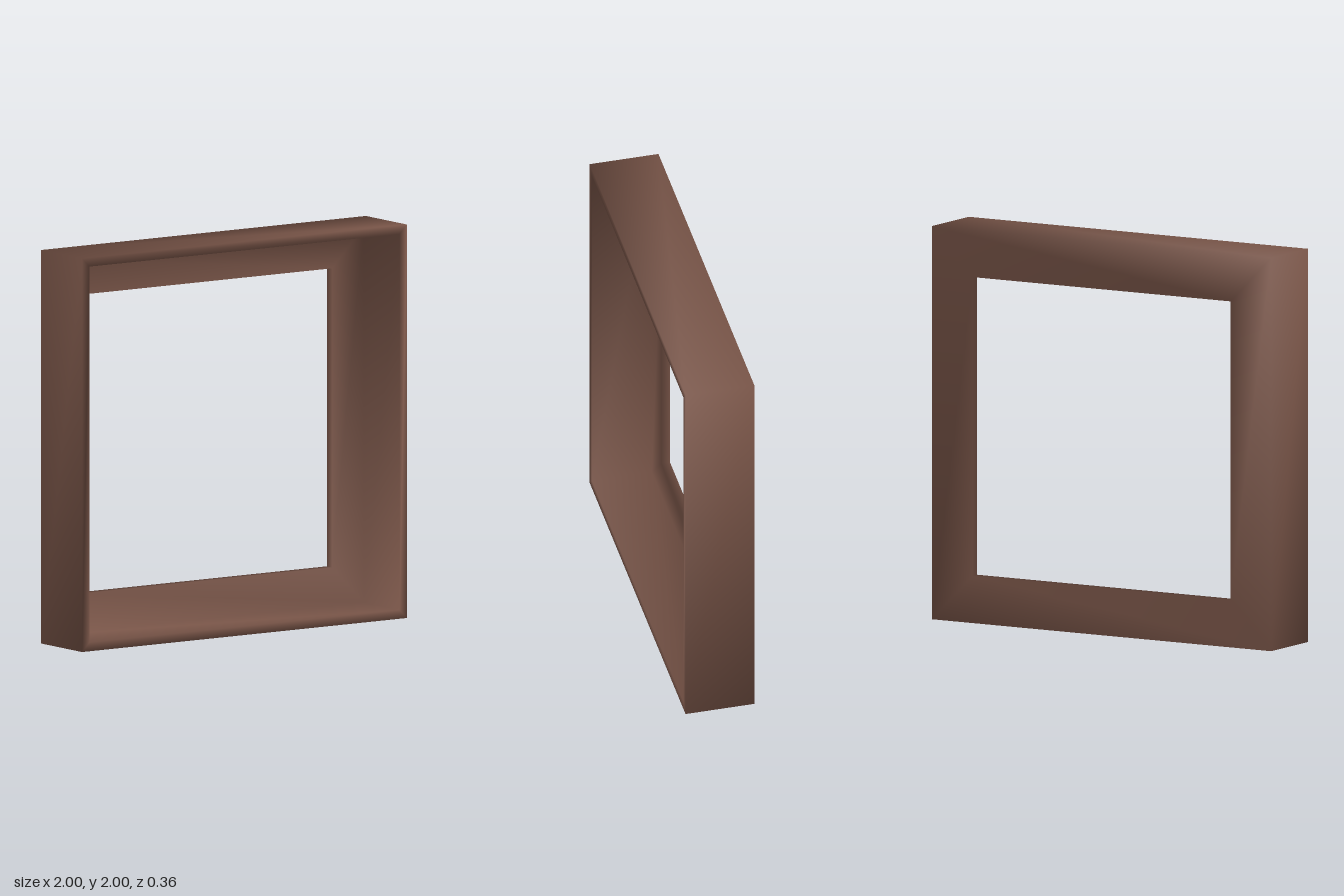
import * as THREE from 'three';

// Square ring swept from an L-shaped section, with mitred corners and shared (smooth) normals
function squareRing(profile) {
  const corners = [[1, 1], [-1, 1], [-1, -1], [1, -1]];
  const n = profile.length;
  const positions = [];
  const index = [];
  corners.forEach(([sx, sy], c) => {
    const next = (c + 1) % corners.length;
    profile.forEach(([r, z], i) => {
      positions.push(sx * r, 1 + sy * r, z);
      const j = (i + 1) % n;
      const a = c * n + i, b = c * n + j;
      const a2 = next * n + i, b2 = next * n + j;
      index.push(a, a2, b, a2, b2, b);
    });
  });
  const geometry = new THREE.BufferGeometry();
  geometry.setAttribute('position', new THREE.Float32BufferAttribute(positions, 3));
  geometry.setIndex(index);
  geometry.computeVertexNormals();
  return geometry;
}

export function createModel() {
  const group = new THREE.Group();
  group.name = 'squareFrame';

  const brownWood = new THREE.MeshStandardMaterial({ color: 0x795548 });
  brownWood.name = 'brownWood';

  // Section as [distance from centre, depth]: deep outer wall plus a thin back flange
  const depth = 0.178, wall = 0.045, opening = 0.76;
  const profile = [
    [1, -depth],
    [1, depth],
    [1 - wall, depth],
    [1 - wall, -depth + wall],
    [opening, -depth + wall],
    [opening, -depth],
  ];
  const frame = new THREE.Mesh(squareRing(profile), brownWood);
  frame.name = 'frame';
  group.add(frame);

  return group;
}
